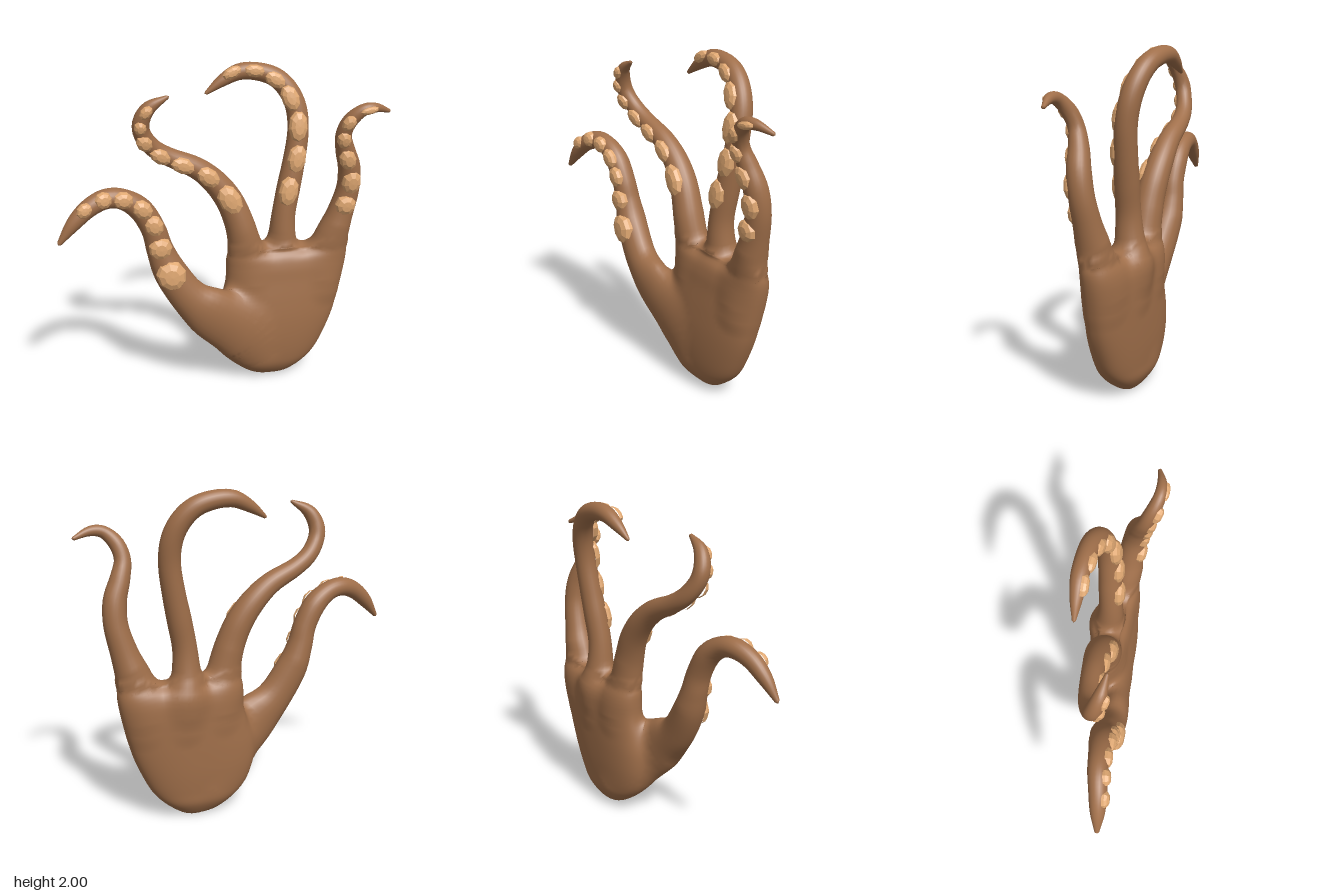
import * as THREE from 'three';

const skin = new THREE.MeshStandardMaterial({ color: 0xa06f4a });
const padColor = new THREE.MeshStandardMaterial({ color: 0xe0a872, flatShading: true });
const Z = new THREE.Vector3(0, 0, 1);
const SQUARE = 2.44; // how boxy the palm section is
const BLEND = 0.08; // width of the soft webs between parts
const thick = (r) => Math.min(r, 0.092);

// Palm levels: y, left edge, right edge, front z, back z
const PALM = [
  [0.005, 0.29, 0.39, -0.005, -0.055], [0.03, 0.19, 0.45, 0.05, -0.085],
  [0.1, 0.085, 0.54, 0.1, -0.125], [0.18, 0.01, 0.61, 0.12, -0.135],
  [0.3, -0.03, 0.67, 0.13, -0.145], [0.43, -0.03, 0.72, 0.128, -0.15],
  [0.56, 0.0, 0.752, 0.115, -0.152], [0.68, 0.03, 0.773, 0.098, -0.152],
  [0.77, 0.045, 0.78, 0.086, -0.145], [0.83, 0.06, 0.772, 0.066, -0.12], [0.87, 0.1, 0.74, 0.025, -0.07],
];

// Fingers: path points are x, y, z, radius; pads are x, y, half length, half width
const FINGERS = {
  thumb: {
    path: [[0.25, 0.17, 0, 0.09], [0.14, 0.33, 0.042, 0.178], [-0.08, 0.515, 0.084, 0.166], [-0.225, 0.645, 0.092, 0.116],
      [-0.337, 0.82, 0.084, 0.1], [-0.395, 0.97, 0.08, 0.08], [-0.43, 1.1, 0.085, 0.072], [-0.5, 1.23, 0.09, 0.07],
      [-0.6, 1.305, 0.1, 0.06], [-0.7, 1.32, 0.115, 0.058], [-0.8, 1.28, 0.138, 0.053], [-0.89, 1.2, 0.155, 0.042],
      [-0.975, 1.095, 0.17, 0.014]],
    pads: [[-0.34, 0.825, 0.1, 0.088], [-0.4, 1.0, 0.072, 0.07], [-0.435, 1.145, 0.07, 0.056], [-0.5, 1.25, 0.068, 0.053],
      [-0.61, 1.315, 0.062, 0.051], [-0.725, 1.325, 0.052, 0.049], [-0.83, 1.278, 0.05, 0.04]],
  },
  indexFinger: {
    path: [[0.19, 0.62, -0.03, 0.08], [0.172, 0.79, -0.035, 0.115], [0.143, 0.92, -0.02, 0.102], [0.107, 1.06, -0.02, 0.09],
      [0.05, 1.2, -0.03, 0.083], [-0.035, 1.32, -0.035, 0.075], [-0.15, 1.42, -0.03, 0.065], [-0.31, 1.5, -0.02, 0.055],
      [-0.41, 1.57, 0, 0.052], [-0.47, 1.66, 0.03, 0.05], [-0.475, 1.74, 0.05, 0.048], [-0.43, 1.82, 0.07, 0.038],
      [-0.33, 1.877, 0.085, 0.011]],
    pads: [[0.04, 1.225, 0.108, 0.067], [-0.09, 1.375, 0.085, 0.054], [-0.24, 1.455, 0.08, 0.049],
      [-0.375, 1.525, 0.073, 0.045], [-0.467, 1.62, 0.057, 0.045], [-0.485, 1.715, 0.044, 0.036], [-0.45, 1.8, 0.048, 0.031]],
  },
  middleFinger: {
    path: [[0.41, 0.6, -0.05, 0.08], [0.4, 0.79, -0.087, 0.105], [0.39, 0.92, -0.055, 0.087], [0.395, 1.08, -0.047, 0.073],
      [0.425, 1.25, -0.056, 0.072], [0.455, 1.4, -0.067, 0.068], [0.482, 1.58, -0.083, 0.064], [0.475, 1.72, -0.105, 0.063],
      [0.43, 1.83, -0.127, 0.061], [0.35, 1.91, -0.146, 0.057], [0.24, 1.947, -0.156, 0.053], [0.13, 1.947, -0.16, 0.048],
      [0.03, 1.9, -0.155, 0.035], [-0.065, 1.835, -0.147, 0.011]],
    pads: [[0.41, 1.24, 0.1, 0.061], [0.46, 1.435, 0.095, 0.058], [0.47, 1.625, 0.098, 0.058], [0.43, 1.79, 0.086, 0.053],
      [0.345, 1.9, 0.073, 0.045], [0.22, 1.957, 0.065, 0.038], [0.085, 1.95, 0.062, 0.034]],
  },
  littleFinger: {
    path: [[0.63, 0.6, -0.01, 0.08], [0.66, 0.79, -0.02, 0.112], [0.69, 0.91, -0.008, 0.107], [0.74, 1.07, 0.002, 0.082],
      [0.78, 1.24, 0.015, 0.071], [0.775, 1.38, 0.033, 0.068], [0.735, 1.5, 0.055, 0.058], [0.71, 1.6, 0.083, 0.048],
      [0.735, 1.69, 0.113, 0.045], [0.8, 1.755, 0.138, 0.036], [0.88, 1.765, 0.135, 0.028], [0.975, 1.735, 0.105, 0.011]],
    pads: [[0.755, 1.155, 0.067, 0.065], [0.78, 1.305, 0.08, 0.06], [0.74, 1.455, 0.073, 0.051],
      [0.705, 1.585, 0.057, 0.043], [0.725, 1.69, 0.054, 0.037], [0.83, 1.757, 0.058, 0.023]],
  },
};

function smooth(points) {
  return new THREE.CatmullRomCurve3(points.map((p) => new THREE.Vector3(...p)), false, 'catmullrom', 0.5);
}
const sample = (curve, n) => Array.from({ length: n + 1 }, (_, i) => curve.getPoint(i / n));

// Densely sampled palm levels and finger centre lines
const edges = sample(smooth(PALM.map(([y, l, r]) => [l, r, y])), 60);
const depths = sample(smooth(PALM.map(([, , , f, b]) => [f, b, 0])), 60);
const levels = edges.map((e, i) => [e.z, (e.x + e.y) / 2, (e.y - e.x) / 2,
  (depths[i].x + depths[i].y) / 2, (depths[i].x - depths[i].y) / 2]);
const arms = Object.entries(FINGERS).map(([name, { path, pads }]) => {
  const curve = smooth(path), steps = (path.length - 1) * 5;
  const radii = sample(smooth(path.map((p) => [p[3], 0, 0])), steps).map((v) => v.x);
  return { name, pads, curve, steps, radii, points: sample(curve, steps) };
});

// Approximate distance to a rounded section with half sizes a and b
function section(u, v, a, b, n) {
  const p = Math.abs(u / a) + 1e-6, q = Math.abs(v / b) + 1e-6;
  const g = (p ** n + q ** n) ** (1 / n);
  return (g - 1) / (g ** (1 - n) * Math.hypot(p ** (n - 1) / a, q ** (n - 1) / b));
}

function palmDistance(x, y, z) {
  const top = levels.length - 1;
  let i = 0;
  while (i < top - 1 && levels[i + 1][0] < y) i++;
  const lo = levels[i], hi = levels[i + 1];
  const t = THREE.MathUtils.clamp((y - lo[0]) / (hi[0] - lo[0]), 0, 1);
  const [, cx, a, cz, b] = lo.map((v, k) => v + (hi[k] - v) * t);
  return Math.max(section(x - cx, z - cz, a, b, SQUARE), levels[0][0] - y, y - levels[top][0]);
}

function armDistance({ points, radii }, x, y, z) {
  let best = Infinity, cz = 0, r = 1;
  for (let i = 0; i < points.length - 1; i++) {
    const p = points[i], q = points[i + 1], dx = q.x - p.x, dy = q.y - p.y;
    const t = Math.min(1, Math.max(0, ((x - p.x) * dx + (y - p.y) * dy) / (dx * dx + dy * dy)));
    const d = Math.hypot(x - p.x - dx * t, y - p.y - dy * t);
    if (d < best) {
      best = d;
      cz = p.z + (q.z - p.z) * t;
      r = radii[i] + (radii[i + 1] - radii[i]) * t;
    }
  }
  return section(best, z - cz, r, thick(r), 2);
}

// All parts softly joined
function bodyDistance(x, y, z) {
  let d = palmDistance(x, y, z);
  for (const arm of arms) {
    const e = armDistance(arm, x, y, z), h = Math.max(BLEND - Math.abs(d - e), 0) / BLEND;
    d = Math.min(d, e) - h * h * BLEND / 4;
  }
  return d;
}

function bodyGradient(p, e = 0.006) {
  const { x, y, z } = p;
  return new THREE.Vector3(
    bodyDistance(x + e, y, z) - bodyDistance(x - e, y, z),
    bodyDistance(x, y + e, z) - bodyDistance(x, y - e, z),
    bodyDistance(x, y, z + e) - bodyDistance(x, y, z - e)).divideScalar(2 * e);
}

// Capped skin over rings, with points near the surface eased onto the joined body
function loft(rings) {
  const n = rings[0].length, pos = [], nor = [], idx = [];
  const centre = (ring) => ring.reduce((s, p) => s.add(p), new THREE.Vector3()).divideScalar(n);
  const verts = [...rings.flat(), centre(rings[0]), centre(rings[rings.length - 1])];
  for (const p of verts) {
    for (let k = 0; k < 5; k++) {
      const d = bodyDistance(p.x, p.y, p.z);
      if (Math.abs(d) > 0.045) break;
      const g = bodyGradient(p);
      p.addScaledVector(g, -d / Math.max(g.lengthSq(), 0.4));
    }
    pos.push(p.x, p.y, p.z);
    nor.push(...bodyGradient(p).normalize().toArray());
  }
  const last = (rings.length - 1) * n, start = rings.length * n, end = start + 1;
  for (let j = 0; j < n; j++) {
    const k = (j + 1) % n;
    for (let i = 0; i < last; i += n) {
      idx.push(i + j, i + n + j, i + k, i + k, i + n + j, i + n + k);
    }
    idx.push(start, j, k, end, last + k, last + j);
  }
  const geo = new THREE.BufferGeometry();
  geo.setAttribute('position', new THREE.Float32BufferAttribute(pos, 3));
  geo.setAttribute('normal', new THREE.Float32BufferAttribute(nor, 3));
  geo.setIndex(idx);
  return geo;
}

const ringOf = (n, place) => Array.from({ length: n }, (_, j) => {
  const a = (j / n) * Math.PI * 2;
  return place(Math.cos(a), Math.sin(a));
});

function buildPalm() {
  const round = (v) => Math.sign(v) * Math.abs(v) ** (2 / SQUARE);
  // Shrinking rings close the top between the fingers
  const [y, cx, a, cz, b] = levels[levels.length - 1];
  const lid = [0.9, 0.8, 0.7, 0.6, 0.5, 0.4, 0.3, 0.2, 0.1].map((k) => [y, cx, a * k, cz, b * k]);
  const rings = [...levels, ...lid].map(([h, mx, w, mz, d]) =>
    ringOf(80, (c, s) => new THREE.Vector3(mx + w * round(c), h, mz + d * round(s))));
  const palm = new THREE.Mesh(loft(rings), skin);
  palm.name = 'palm';
  return palm;
}

function buildFinger({ name, pads, curve, steps, radii, points }) {
  const group = new THREE.Group();
  group.name = name;
  const frames = points.map((_, i) => {
    const along = curve.getTangent(i / steps), side = along.clone().cross(Z).normalize();
    return { along, side, front: side.clone().cross(along) };
  });

  // Tapering, curling arm
  const arm = new THREE.Mesh(loft(points.map((p, i) => ringOf(24, (c, s) => p.clone()
    .addScaledVector(frames[i].side, radii[i] * c)
    .addScaledVector(frames[i].front, thick(radii[i]) * s)))), skin);
  arm.name = name + 'Arm';
  group.add(arm);

  // Faceted sucker pads along the front
  const profile = [[0.98, -0.8], [1, -0.2], [0.86, 0.45], [0.5, 0.92], [0, 1]].map((p) => new THREE.Vector2(...p));
  for (const [x, y, len, wid] of pads) {
    const gap = points.map((p) => Math.hypot(p.x - x, p.y - y));
    const i = gap.indexOf(Math.min(...gap)), f = frames[i];
    const sucker = new THREE.Mesh(new THREE.LatheGeometry(profile, 9).rotateX(Math.PI / 2), padColor);
    sucker.name = 'suckerPad';
    sucker.quaternion.setFromRotationMatrix(new THREE.Matrix4().makeBasis(f.side, f.along, f.front));
    sucker.scale.set(wid, len, 0.014 + wid * 0.24);
    sucker.position.set(x, y, points[i].z).addScaledVector(f.front, thick(radii[i]) * 0.87);
    group.add(sucker);
  }
  return group;
}

export function createModel() {
  const model = new THREE.Group();
  model.name = 'tentacleHand';
  model.add(buildPalm(), ...arms.map(buildFinger));
  return model;
}
